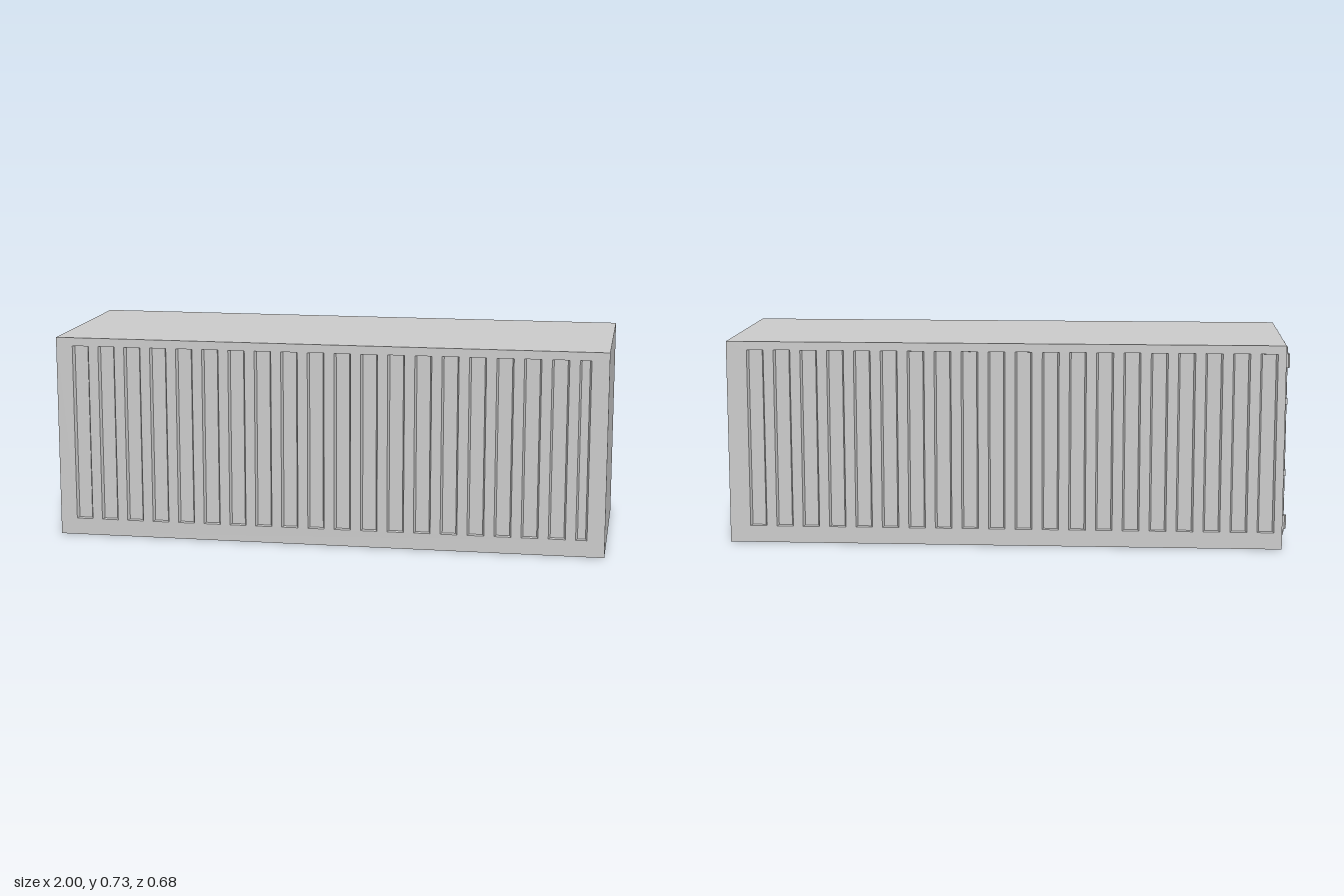
import * as THREE from 'three';

const material = new THREE.MeshStandardMaterial({ color: 0xcccccc, flatShading: true });
const LEFT = -0.98, RIGHT = 1, HEIGHT = 0.73, HALF_Z = 0.342, DEPTH = 0.014;
const MID = (LEFT + RIGHT) / 2, LENGTH = RIGHT - LEFT;

function add(parent, name, geometry, x = 0, y = 0, z = 0) {
  const mesh = new THREE.Mesh(geometry, material);
  mesh.name = name;
  mesh.position.set(x, y, z);
  parent.add(mesh);
  return mesh;
}

const box = (parent, name, w, h, d, x, y, z) =>
  add(parent, name, new THREE.BoxGeometry(w, h, d), x, y, z);

// Wall with recesses [x0, x1, y0, y1] whose sides slope in towards the floor
function wallGeometry(width, recesses, slopeX, slopeY) {
  const rect = (Type, x0, x1, y0, y1) => new Type([
    new THREE.Vector2(x0, y0), new THREE.Vector2(x1, y0),
    new THREE.Vector2(x1, y1), new THREE.Vector2(x0, y1)]);
  const shape = rect(THREE.Shape, -width / 2, width / 2, 0, HEIGHT);
  for (const r of recesses) shape.holes.push(rect(THREE.Path, ...r));
  const geometry = new THREE.ExtrudeGeometry(shape, { depth: DEPTH, bevelEnabled: false });
  const p = geometry.attributes.position, e = 1e-4;
  for (let i = 0; i < p.count; i++) {
    if (p.getZ(i) > e) continue;
    const x = p.getX(i), y = p.getY(i);
    const r = recesses.find(([a, b, c, d]) => x > a - e && x < b + e && y > c - e && y < d + e);
    if (!r) continue;
    p.setX(i, x + Math.sign((r[0] + r[1]) / 2 - x) * slopeX);
    p.setY(i, y + Math.sign((r[2] + r[3]) / 2 - y) * slopeY);
  }
  geometry.computeVertexNormals();
  return geometry;
}

// Twenty upright corrugations along a long side
function corrugations(offset, lastWidth) {
  return Array.from({ length: 20 }, (_, i) => {
    const x = -LENGTH / 2 + offset + i * 0.0957;
    return [x, x + (i === 19 ? lastWidth : 0.06), 0.06, 0.70];
  });
}

// Locking rod with cams, guides and clamps
function lockingRod(parent, z) {
  const rod = new THREE.Group();
  rod.name = 'lockingRod';
  rod.position.x = z;
  parent.add(rod);
  add(rod, 'rod', new THREE.CylinderGeometry(0.005, 0.005, 0.68, 8), 0, 0.375, 0.007);
  for (const [y, dir] of [[0.08, 1], [0.665, -1]]) {
    // Six-sided housing around the rod
    const housing = add(rod, 'camHousing', new THREE.CylinderGeometry(0.015, 0.015, 0.05, 6), 0, y, 0.007);
    housing.scale.z = 0.9;
    const cam = add(rod, 'cam', new THREE.CylinderGeometry(0.012, 0.005, 0.025, 6), 0, y - dir * 0.037, 0.007);
    if (dir < 0) cam.rotation.z = Math.PI;
    cam.scale.z = 0.6;
  }
  for (const y of [0.26, 0.52]) box(rod, 'rodGuide', 0.024, 0.022, 0.014, 0, y, 0.007);
}

// Handle reaching sideways from a rod, with its catch
function handle(parent, z, dir) {
  const group = new THREE.Group();
  group.name = 'doorHandle';
  group.position.x = z;
  parent.add(group);
  box(group, 'handleHub', 0.018, 0.022, 0.014, 0, 0.205, 0.009);
  const path = new THREE.CatmullRomCurve3([
    new THREE.Vector3(0, 0.205, 0.013), new THREE.Vector3(dir * 0.03, 0.2, 0.014),
    new THREE.Vector3(dir * 0.05, 0.175, 0.013), new THREE.Vector3(dir * 0.1, 0.17, 0.012)]);
  add(group, 'handleBar', new THREE.TubeGeometry(path, 12, 0.004, 6), 0, 0, 0);
  box(group, 'handleCatch', 0.022, 0.026, 0.014, dir * 0.075, 0.17, 0.005);
}

export function createModel() {
  const model = new THREE.Group();
  model.name = 'shippingContainer';

  // Plain core forms the roof, floor and closed end
  box(model, 'body', LENGTH - DEPTH, HEIGHT, 2 * (HALF_Z - DEPTH), MID + DEPTH / 2, HEIGHT / 2, 0);

  // Corrugated long sides
  add(model, 'frontSide', wallGeometry(LENGTH, corrugations(0.06, 0.04), 0.006, 0.002),
    MID, 0, HALF_Z - DEPTH);
  add(model, 'backSide', wallGeometry(LENGTH, corrugations(0.073, 0.06), 0.006, 0.002),
    MID, 0, -HALF_Z + DEPTH).rotation.y = Math.PI;

  // Door end: two leaves, each with three recessed panels
  const doors = new THREE.Group();
  doors.name = 'doorEnd';
  doors.position.x = LEFT;
  doors.rotation.y = -Math.PI / 2;
  model.add(doors);
  const panels = [];
  for (const [z0, z1] of [[-0.31, -0.04], [0.04, 0.31]])
    for (const [y0, y1] of [[0.06, 0.24], [0.28, 0.50], [0.54, 0.69]]) panels.push([z0, z1, y0, y1]);
  add(doors, 'doorWall', wallGeometry(2 * (HALF_Z - DEPTH), panels, 0.004, 0.004), 0, 0, -DEPTH);
  for (const side of [-1, 1])
    for (const y of [0.26, 0.52]) box(doors, 'doorBand', 0.27, 0.02, 0.004, side * 0.175, y, 0.001);

  for (const z of [-0.245, -0.11, 0.09, 0.235]) lockingRod(doors, z);
  handle(doors, -0.11, -1);
  handle(doors, 0.09, 1);
  return model;
}
